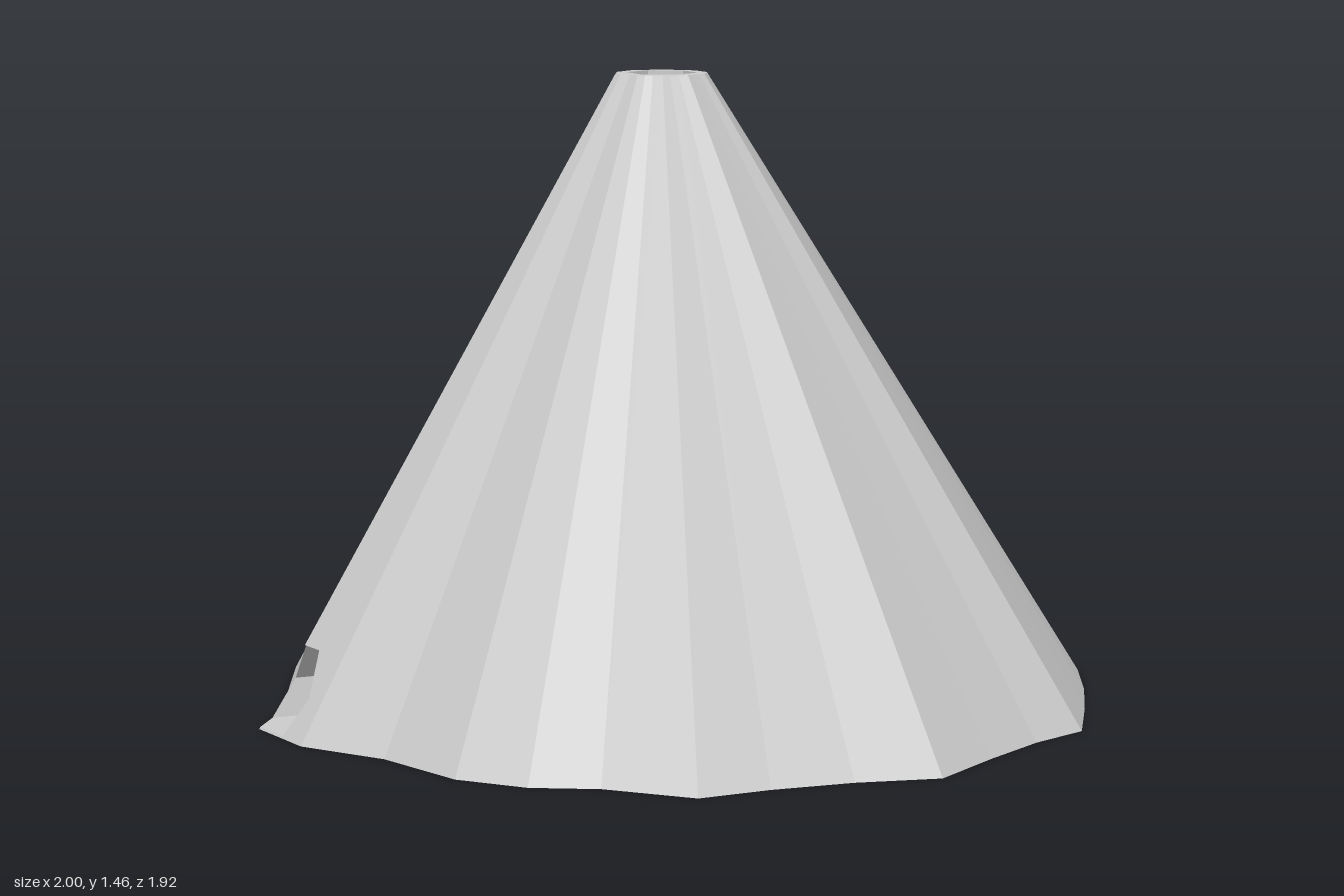
import * as THREE from 'three';

const H = 1.46, BAND = 0.26;          // total height, height of the upright inner band
const VAULT = 0.9;                    // height where the inner vault meets the flue
const CX = -0.02, CZ = -0.03;         // axis of the cone
const material = new THREE.MeshStandardMaterial({ color: 0xcccccc, flatShading: true });

// Wavy ground outline (x, z), clockwise seen from above, starting at the back right
const outline = [
  [-0.32, -0.96], [-0.15, -0.945], [0.04, -0.96], [0.23, -0.945],
  [0.405, -0.955], [0.56, -0.80], [0.71, -0.69], [0.83, -0.54],
  [0.985, -0.38], [0.97, -0.21], [0.98, CZ], [1.0, 0.16],
  [0.915, 0.345], [0.82, 0.52], [0.71, 0.705], [0.565, 0.76],
  [0.405, 0.85], [0.23, 0.96], [0.04, 0.92], [-0.15, 0.905],
  [-0.32, 0.91], [-0.48, 0.76], [-0.62, 0.69], [-0.74, 0.565],
  [-0.825, 0.34], [-0.96, 0.16], [-1.0, CZ], [-0.88, -0.205],
  [-0.825, -0.38], [-0.74, -0.60], [-0.62, -0.69], [-0.48, -0.80],
];
const N = outline.length;

// Doorway outline (z, y) split along the crease at z = CZ: front half and back half
const doorHalves = {
  front: [[CZ, 0.185], [0.035, 0.185], [0.095, 0.09], [0.072, 0.005], [CZ, 0.005]],
  back: [[CZ, 0.185], [-0.041, 0.185], [-0.118, 0.09], [-0.103, 0.005], [CZ, 0.005]],
};
// Facets that a doorway cuts: crease vertex, neighbouring vertex, half
const doorFacets = {
  9: [10, 9, 'back'], 10: [10, 11, 'front'],
  25: [26, 25, 'front'], 26: [26, 27, 'back'],
};

// Ring of outline points scaled about the axis and lifted to height y
const scaled = ([s, y]) => (i) => {
  const [x, z] = outline[i % N];
  return new THREE.Vector3(CX + s * (x - CX), y, CZ + s * (z - CZ));
};

// Ring of the six-sided flue: each outline point goes to its nearest corner
const flue = (y) => (i) => {
  const [x, z] = outline[i % N];
  const sixth = Math.PI / 3;
  const k = Math.round(Math.atan2(z - CZ, x - CX) / sixth - 0.5);
  const angle = (k + 0.5) * sixth;
  return new THREE.Vector3(-0.01 + 0.083 * Math.cos(angle), y, -0.035 + 0.083 * Math.sin(angle));
};

// Point on a facet, given its z and y, between two (scale, height) rings
function onFacet([a, b], ring0, ring1, [z, y]) {
  const s = ring0[0] + (ring1[0] - ring0[0]) * (y - ring0[1]) / (ring1[1] - ring0[1]);
  const [ax, az] = outline[a], [bx, bz] = outline[b];
  const t = ((z - CZ) / s + CZ - az) / (bz - az);
  return new THREE.Vector3(CX + s * (ax + (bx - ax) * t - CX), y, z);
}

// Adds a triangle, turned towards dir when one is given; skips empty ones
function tri(out, a, b, c, dir) {
  const n = b.clone().sub(a).cross(c.clone().sub(a));
  if (n.length() < 1e-9) return;
  if (dir && n.dot(dir) < 0) [b, c] = [c, b];
  for (const p of [a, b, c]) out.push(p.x, p.y, p.z);
}
function quad(out, a, b, c, d, dir) {
  tri(out, a, b, c, dir);
  tri(out, a, c, d, dir);
}

// Plain facet i between two rings
function plainFacet(out, i, p, q) {
  quad(out, p(i + 1), p(i), q(i), q(i + 1));
}

// Facet with half a doorway cut out of its crease edge
function piercedFacet(out, facet, ring0, ring1, facing) {
  const [crease, side, half] = facet;
  const p = scaled(ring0), q = scaled(ring1);
  const corners = [p(crease), p(side), q(side), q(crease)].map((v) => [v.z, v.y]);
  const notch = doorHalves[half];
  // walk the notch from the end of the facet back to its start
  const contour = corners.concat(ring1[1] > ring0[1] ? notch : [...notch].reverse());
  const flat = contour.map(([z, y]) => new THREE.Vector2(z, y));
  const pts = contour.map((c) => onFacet(facet, ring0, ring1, c));
  for (const [a, b, c] of THREE.ShapeUtils.triangulateShape(flat, [])) {
    tri(out, pts[a], pts[b], pts[c], facing);
  }
}

// Band of facets between two rings of points
function band(p, q) {
  const out = [];
  for (let i = 0; i < N; i++) plainFacet(out, i, p, q);
  return out;
}

// Band with both doorways; facing is 1 for outward, -1 for inward
function piercedBand(ring0, ring1, facing) {
  const out = [];
  for (let i = 0; i < N; i++) {
    const facet = doorFacets[i];
    if (facet) {
      const side = Math.sign(outline[facet[0]][0]);
      piercedFacet(out, facet, ring0, ring1, new THREE.Vector3(side * facing, 0, 0));
    } else {
      plainFacet(out, i, scaled(ring0), scaled(ring1));
    }
  }
  return out;
}

function mesh(name, positions) {
  const g = new THREE.BufferGeometry();
  g.setAttribute('position', new THREE.Float32BufferAttribute(positions, 3));
  g.computeVertexNormals();
  const m = new THREE.Mesh(g, material);
  m.name = name;
  return m;
}

export function createModel() {
  const group = new THREE.Group();
  group.name = 'hollowCone';

  // Closed wall profile as (scale, height) rings, with a straight flue through the top
  const foot = [1, 0], rim = [0.11, H];
  const shoulder = [0.772, BAND], innerFoot = [0.772, 0];
  group.add(
    mesh('outerWall', piercedBand(foot, rim, 1)),
    mesh('topRim', band(scaled(rim), flue(H))),
    mesh('flue', band(flue(H), flue(VAULT))),
    mesh('innerVault', band(flue(VAULT), scaled(shoulder))),
    mesh('innerBand', piercedBand(shoulder, innerFoot, -1)),
    mesh('bottomRing', band(scaled(innerFoot), scaled(foot))),
  );

  // Lining of the two doorways through the wall
  const centre = new THREE.Vector3(0, 0.09, CZ);
  for (const [name, facets] of [['leftDoorway', [9, 10]], ['rightDoorway', [25, 26]]]) {
    const out = [];
    for (const f of facets) {
      const facet = doorFacets[f], half = doorHalves[facet[2]];
      const outer = half.map((p) => onFacet(facet, foot, rim, p));
      const inner = half.map((p) => onFacet(facet, shoulder, innerFoot, p));
      for (let k = 0; k + 1 < half.length; k++) {
        const dir = centre.clone().sub(outer[k].clone().lerp(outer[k + 1], 0.5)).setX(0);
        quad(out, outer[k], outer[k + 1], inner[k + 1], inner[k], dir);
      }
    }
    group.add(mesh(name, out));
  }
  return group;
}
